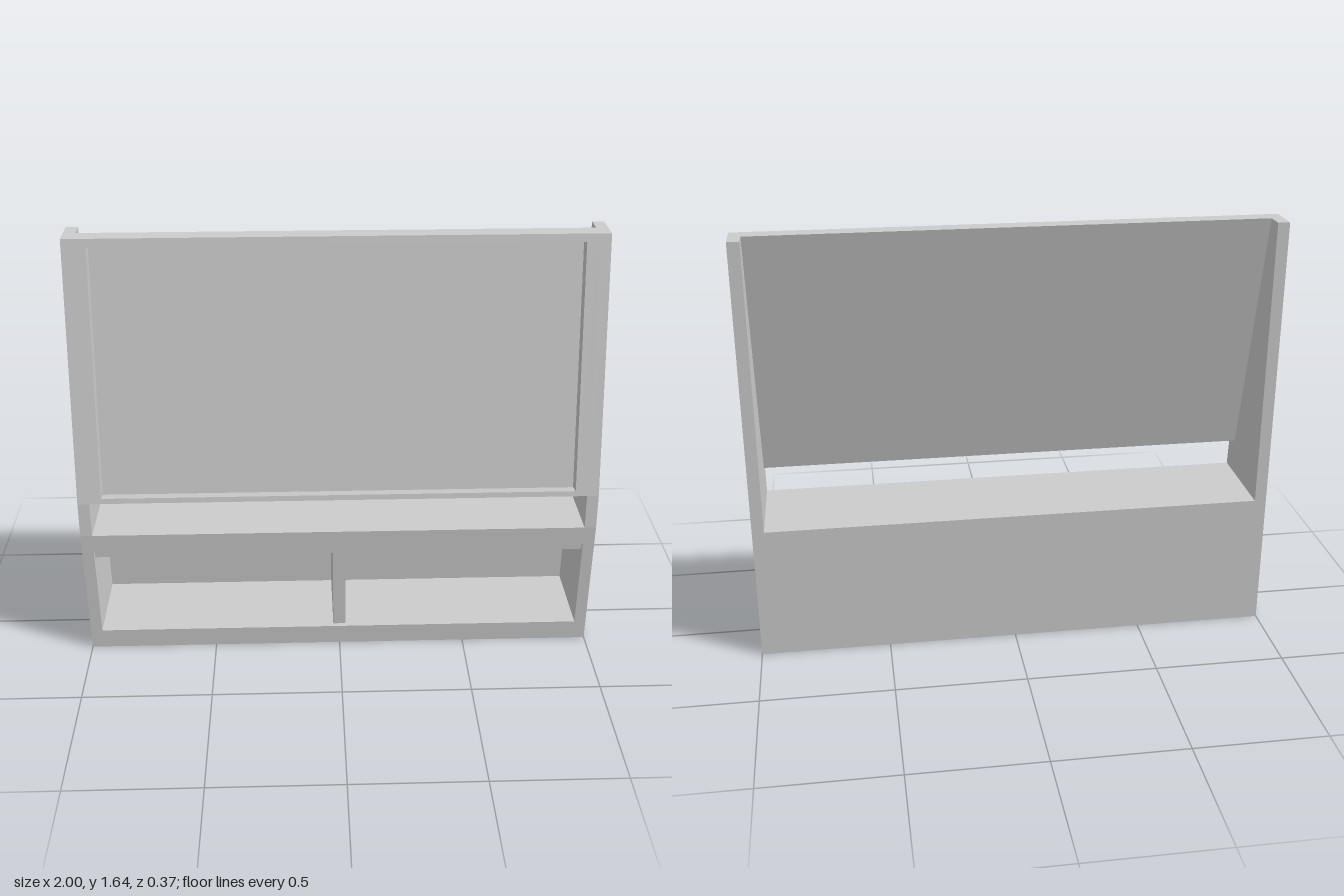
import * as THREE from 'three';

export function createModel() {
  const model = new THREE.Group();
  const material = new THREE.MeshStandardMaterial({ color: 0xcccccc, flatShading: true });

  // Board with a [z, y] side profile, running along x from x0 to x1
  function board(name, profile, x0, x1) {
    const shape = new THREE.Shape(profile.map(([z, y]) => new THREE.Vector2(z, y)));
    const geometry = new THREE.ExtrudeGeometry(shape, { depth: x1 - x0, bevelEnabled: false });
    geometry.rotateY(-Math.PI / 2).translate(x1, 0, 0);
    const mesh = new THREE.Mesh(geometry, material);
    mesh.name = name;
    model.add(mesh);
  }
  const rect = (z0, z1, y0, y1) => [[z0, y0], [z1, y0], [z1, y1], [z0, y1]];

  const inner = 0.955, front = 0.185, back = -0.185, height = 1.645;
  const kink = 0.665, shelfTop = 0.53, rebate = 0.167, innerBack = -0.14;

  // Sloping front line and the parallel lines behind it
  const slope = (0.172 + 0.05) / (height - kink);
  const onSlope = (y, offset = 0) => [0.172 - (y - kink) * slope - offset, y];
  const thick = 0.065, recess = 0.0526, drop = 0.0113;

  // Side walls
  const sideProfile = [[back, 0], [front, 0], [front, shelfTop], onSlope(kink), onSlope(height), [back, height]];
  board('rightSide', sideProfile, -1, -inner);
  board('leftSide', sideProfile, inner, 1);

  // Lower cabinet: base, back, shelf with a rebated front, divider
  board('base', rect(back, front, 0, 0.08), -inner, inner);
  board('cabinetBack', rect(back, innerBack, 0.08, 0.42), -inner, inner);
  board('shelf', [
    [back, 0.42], [rebate, 0.42], [rebate, 0.455], [front, 0.455], [front, shelfTop], [back, shelfTop],
  ], -inner, inner);
  board('divider', rect(innerBack, rebate, 0.08, 0.42), -0.025, 0.025);

  // Sloping panel: frame around a recess cut square to the slope
  const low = 0.685, high = 1.615, window = 0.91;
  board('panelBottomRail', [
    onSlope(kink), onSlope(low), onSlope(low - drop, recess), onSlope(low - drop, thick), onSlope(kink, thick),
  ], -window, window);
  board('panelTopRail', [
    onSlope(height), onSlope(height, thick), onSlope(high - drop, thick), onSlope(high - drop, recess), onSlope(high),
  ], -window, window);
  const stile = [onSlope(kink, thick), onSlope(kink), onSlope(height), onSlope(height, thick)];
  board('panelRightStile', stile, -inner, -window);
  board('panelLeftStile', stile, window, inner);
  board('panelFace', [
    onSlope(low - drop, thick), onSlope(low - drop, recess), onSlope(high - drop, recess), onSlope(high - drop, thick),
  ], -window, window);

  return model;
}
